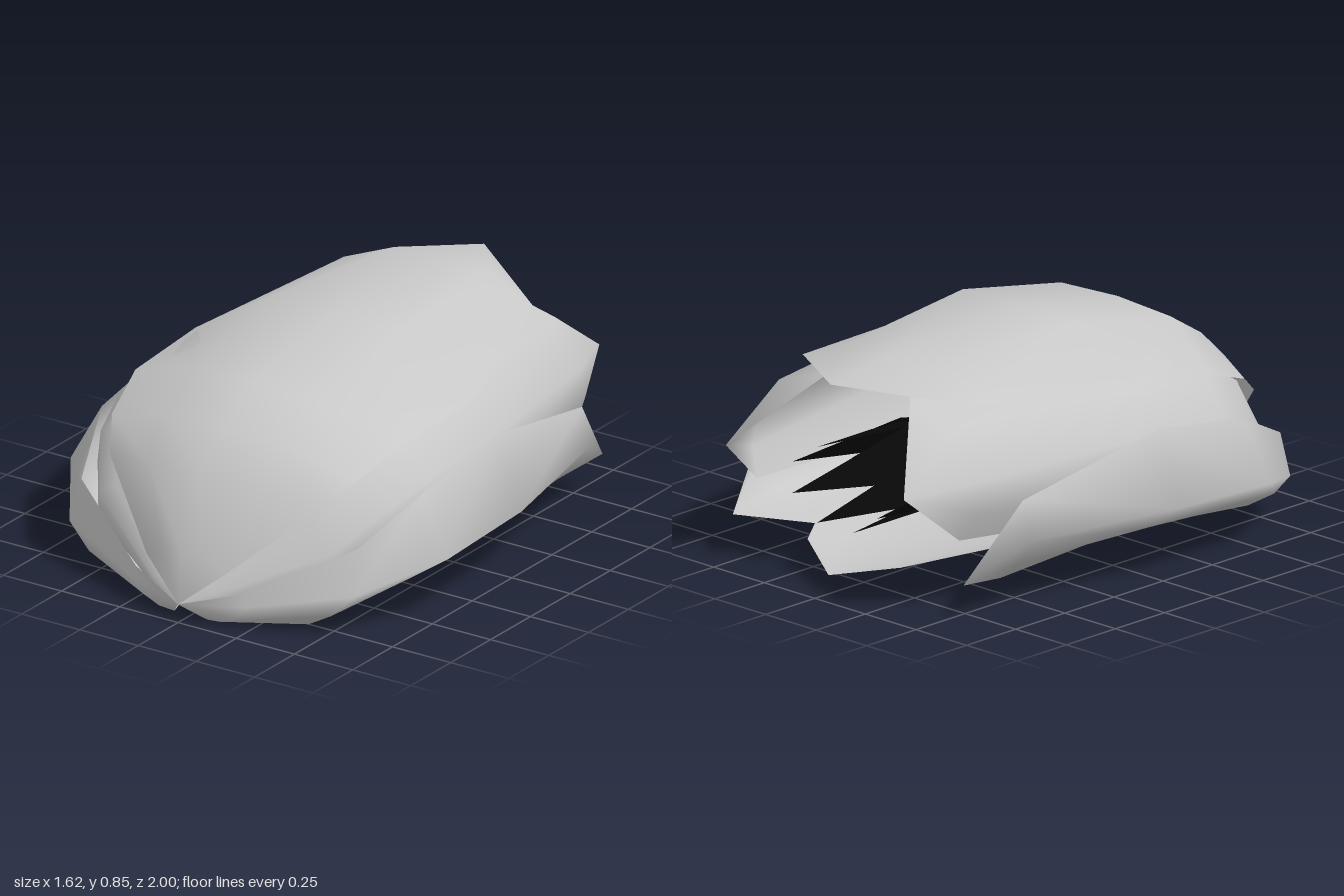
import * as THREE from 'three';

const petalMat = new THREE.MeshStandardMaterial({ color: 0xc8c8c8, side: THREE.DoubleSide });
petalMat.name = 'petal grey';
const stamenMat = new THREE.MeshStandardMaterial({ color: 0x080808, side: THREE.DoubleSide });
stamenMat.name = 'stamen black';

const BASE = [0, 0.07, 1];

// Smooth sheet through cross-sections, closed to a point at the base and the tip
function petalGeometry(rows, tip) {
  const n = rows[0].length;
  const pos = [...BASE, ...rows.flat(2), ...tip];
  const at = (r, c) => 1 + r * n + c;
  const last = 1 + rows.length * n;
  const index = [];
  for (let c = 0; c < n - 1; c++) {
    index.push(0, at(0, c), at(0, c + 1));
    for (let r = 0; r < rows.length - 1; r++) {
      index.push(at(r, c), at(r + 1, c), at(r, c + 1));
      index.push(at(r, c + 1), at(r + 1, c), at(r + 1, c + 1));
    }
    index.push(at(rows.length - 1, c), last, at(rows.length - 1, c + 1));
  }
  const g = new THREE.BufferGeometry();
  g.setAttribute('position', new THREE.Float32BufferAttribute(pos, 3));
  g.setIndex(index);
  g.computeVertexNormals();
  return g;
}

const flip = ([x, y, z]) => [-x, y, z];
// Half cross-section (edge, quarter, centre) completed across x = 0
const symmetric = rows => rows.map(([e, q, c]) => [flip(e), flip(q), c, q, e]);

export function createModel() {
  const group = new THREE.Group();
  group.name = 'flowerHead';
  const add = (name, geometry, material = petalMat) => {
    const m = new THREE.Mesh(geometry, material);
    m.name = name;
    group.add(m);
  };

  // Large upper petal
  add('topPetal', petalGeometry(symmetric([
    [[0.17, 0.21, 0.95], [0.09, 0.26, 0.975], [0, 0.27, 0.98]],
    [[0.45, 0.46, 0.77], [0.22, 0.51, 0.86], [0, 0.52, 0.87]],
    [[0.53, 0.55, 0.64], [0.25, 0.64, 0.71], [0, 0.65, 0.72]],
    [[0.58, 0.63, 0.42], [0.27, 0.75, 0.53], [0, 0.76, 0.54]],
    [[0.59, 0.65, 0.03], [0.27, 0.845, 0.03], [0, 0.85, 0.03]],
    [[0.41, 0.73, -0.64], [0.2, 0.815, -0.65], [0, 0.82, -0.65]],
  ]), [0, 0.78, -0.92]));

  // Inner bottom petal
  add('bottomPetal', petalGeometry(symmetric([
    [[0.08, 0.05, 0.9], [0.04, 0.03, 0.9], [0, 0.02, 0.91]],
    [[0.4, 0.14, 0.5], [0.2, 0.09, 0.5], [0, 0.07, 0.5]],
    [[0.5, 0.2, 0.03], [0.27, 0.13, 0.03], [0, 0.12, 0.03]],
    [[0.42, 0.17, -0.5], [0.22, 0.11, -0.52], [0, 0.09, -0.52]],
    [[0.23, 0.12, -0.8], [0.12, 0.1, -0.8], [0, 0.1, -0.8]],
  ]), [0, 0.07, -0.93]));

  // Inner side petals, upper edge to lower edge
  const inner = [
    [[0.07, 0.14, 0.95], [0.11, 0.14, 0.95], [0.14, 0.13, 0.95], [0.15, 0.11, 0.95], [0.14, 0.09, 0.95]],
    [[0.3, 0.37, 0.8], [0.42, 0.35, 0.78], [0.5, 0.3, 0.77], [0.5, 0.24, 0.77], [0.45, 0.18, 0.78]],
    [[0.3, 0.57, 0.64], [0.5, 0.54, 0.63], [0.62, 0.44, 0.58], [0.64, 0.32, 0.57], [0.55, 0.2, 0.58]],
    [[0.3, 0.71, 0.42], [0.54, 0.64, 0.42], [0.67, 0.5, 0.4], [0.69, 0.35, 0.4], [0.58, 0.2, 0.4]],
    [[0.3, 0.79, 0.03], [0.55, 0.67, 0.03], [0.67, 0.52, 0.03], [0.7, 0.38, 0.03], [0.6, 0.22, 0.03]],
    [[0.2, 0.73, -0.72], [0.42, 0.66, -0.75], [0.55, 0.5, -0.72], [0.55, 0.38, -0.75], [0.5, 0.28, -0.78]],
  ];
  const innerTip = [0.44, 0.47, -1];

  // Outer lower petals, upper edge to lower edge
  const outer = [
    [[0.23, 0.14, 0.93], [0.24, 0.09, 0.93], [0.2, 0.04, 0.93], [0.13, 0.01, 0.93], [0.07, 0, 0.92]],
    [[0.6, 0.34, 0.75], [0.61, 0.17, 0.79], [0.52, 0.08, 0.8], [0.41, 0.015, 0.78], [0.1, 0.02, 0.78]],
    [[0.69, 0.48, 0.47], [0.81, 0.26, 0.49], [0.65, 0.15, 0.5], [0.43, 0.05, 0.49], [0.1, 0.05, 0.52]],
    [[0.7, 0.55, 0.03], [0.81, 0.28, 0.03], [0.65, 0.17, 0.03], [0.43, 0.08, 0.03], [0.14, 0.1, 0.03]],
    [[0.64, 0.42, -0.6], [0.67, 0.27, -0.6], [0.6, 0.17, -0.58], [0.5, 0.09, -0.57], [0.38, 0.07, -0.52]],
  ];
  const outerTip = [0.57, 0.14, -0.83];

  for (const [side, f] of [['left', p => p], ['right', flip]]) {
    const place = rows => rows.map(row => row.map(f));
    add(side + 'InnerPetal', petalGeometry(place(inner), f(innerTip)));
    add(side + 'OuterPetal', petalGeometry(place(outer), f(outerTip)));
  }

  // Ring of pointed stamens around the flower's axis
  const blade = new THREE.BufferGeometry();
  blade.setAttribute('position', new THREE.Float32BufferAttribute(
    [-0.09, 0.16, -0.42, 0.09, 0.16, -0.42, 0, 0.18, -0.9, 0, 0.03, 0.3], 3));
  blade.setIndex([0, 1, 2, 0, 3, 1]);
  blade.computeVertexNormals();
  for (let i = 0; i < 8; i++) {
    const g = blade.clone().rotateZ((i + 0.5) * Math.PI / 4).scale(1.25, 0.85, 1).translate(0, 0.38, 0);
    add('stamen', g, stamenMat);
  }
  return group;
}
